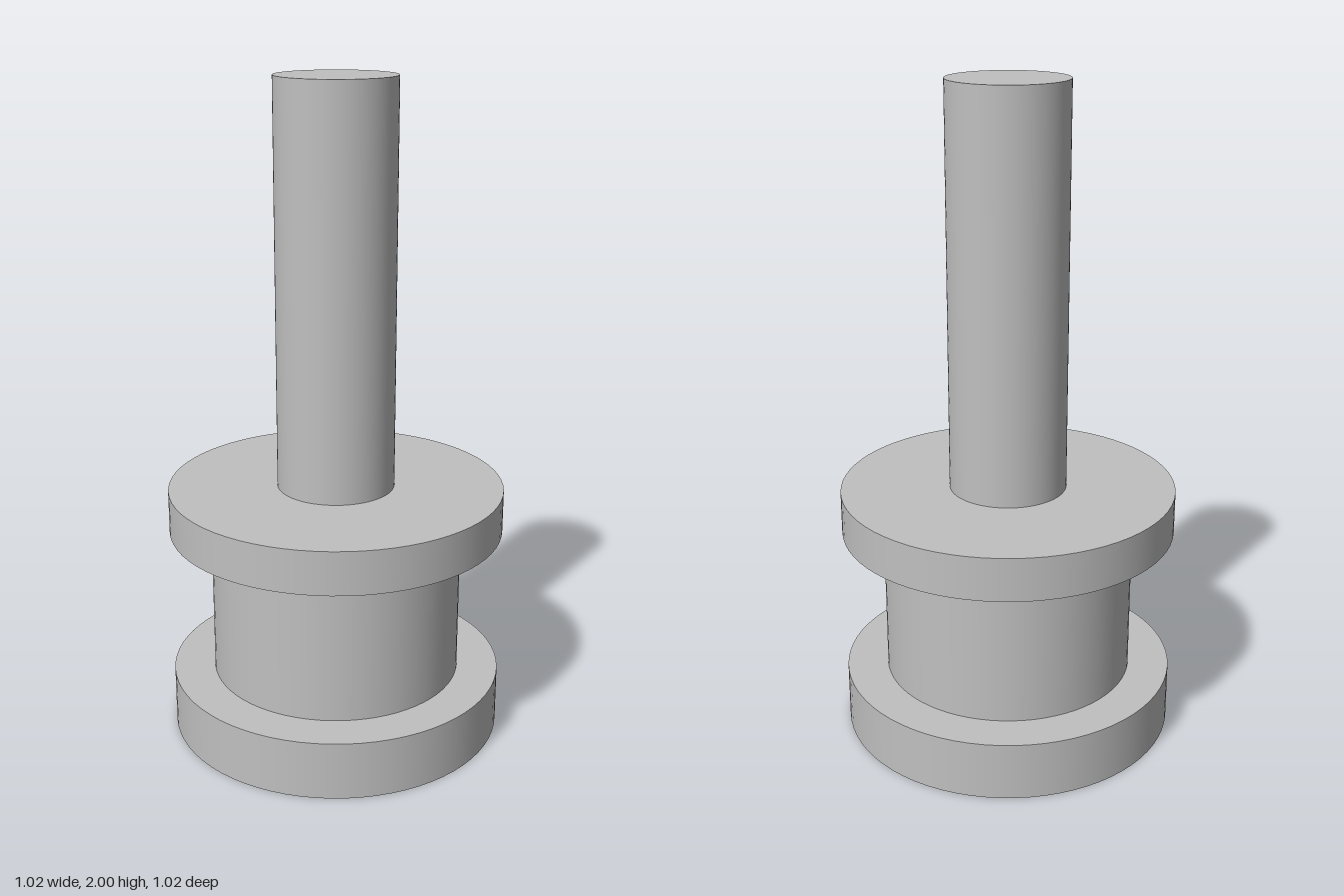
import * as THREE from 'three';

const SEGMENTS = 72;

export function createModel() {
  const model = new THREE.Group();
  model.name = 'flangedSpindle';

  const steel = new THREE.MeshStandardMaterial({ color: 0xc0c0c0 });
  steel.name = 'plain grey';

  // Stacked coaxial discs and shafts: name, radius, bottom and top height
  const parts = [
    ['baseFlange', 0.512, 0, 0.18],
    ['hub', 0.385, 0.18, 0.645],
    ['upperFlange', 0.512, 0.645, 0.778],
    ['stem', 0.179, 0.778, 2],
  ];

  for (const [name, radius, bottom, top] of parts) {
    const geometry = new THREE.CylinderGeometry(radius, radius, top - bottom, SEGMENTS);
    const mesh = new THREE.Mesh(geometry, steel);
    mesh.name = name;
    mesh.position.y = (bottom + top) / 2;
    model.add(mesh);
  }

  return model;
}
